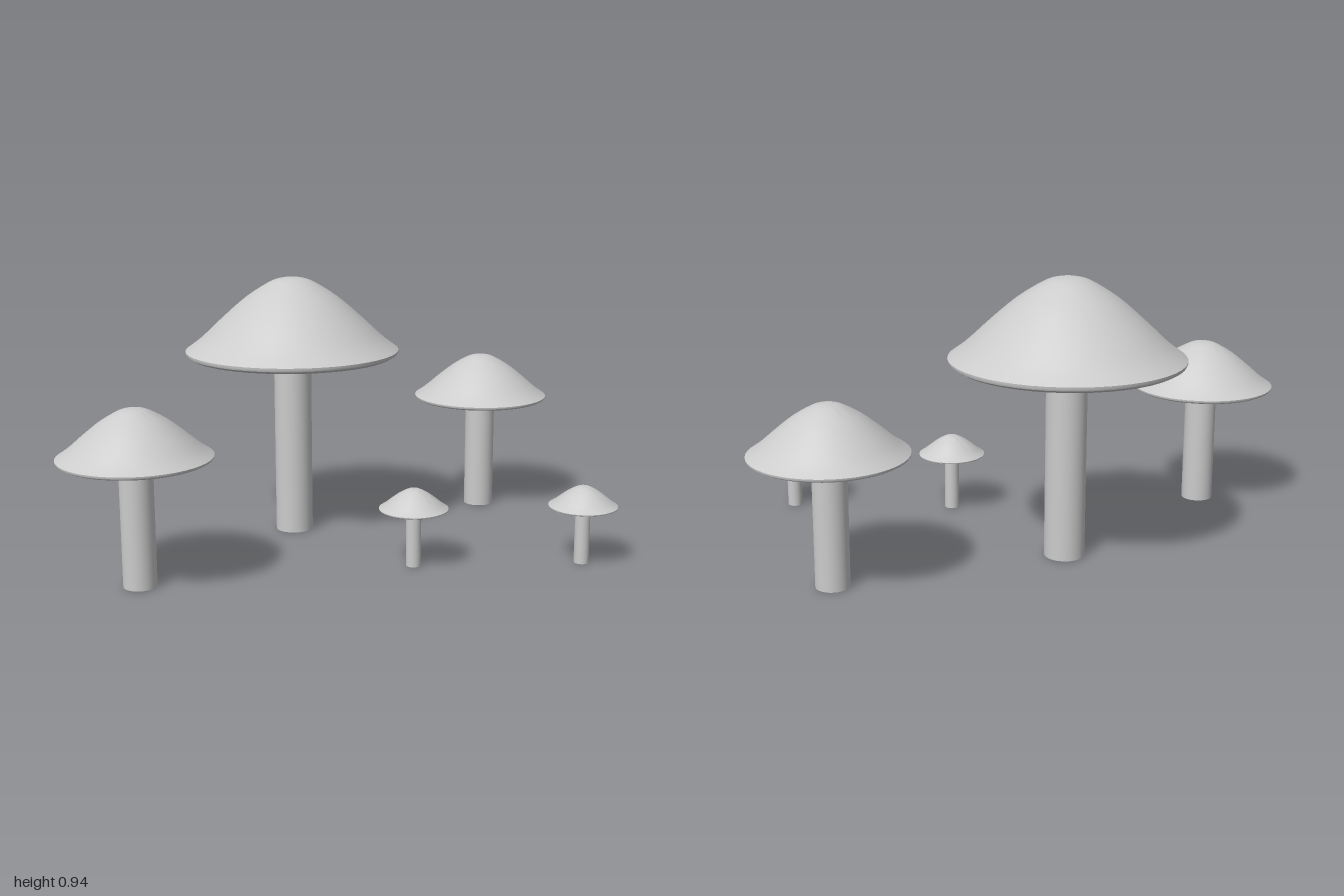
import * as THREE from 'three';
import { toCreasedNormals } from 'three/addons/utils/BufferGeometryUtils.js';

const material = new THREE.MeshStandardMaterial({ color: 0xcccccc });

// Unit cap: radius 1, height 1, flat underside with a thin rolled rim
function capGeometry() {
  const underside = [[0, 0], [0.86, 0.005], [0.95, 0.025], [0.99, 0.055], [1, 0.085]]
    .map(([r, y]) => new THREE.Vector2(r, y));
  const dome = new THREE.SplineCurve(
    [[1, 0.1], [0.86, 0.24], [0.65, 0.5], [0.43, 0.75], [0.21, 0.935], [0.1, 0.985], [0, 1]]
      .map(([r, y]) => new THREE.Vector2(r, y))
  ).getPoints(20);
  dome[dome.length - 1].x = 0;
  return new THREE.LatheGeometry([...underside, ...dome], 48);
}

function createMushroom({ name, x, z, capRadius, capBottom, capTop, stemRadius, stemTop }) {
  const mushroom = new THREE.Group();
  mushroom.name = name;
  mushroom.position.set(x, 0, z);

  const stem = new THREE.Mesh(
    new THREE.CylinderGeometry(stemRadius, stemRadius, stemTop, 32), material);
  stem.name = 'stem';
  stem.position.y = stemTop / 2;

  const geometry = capGeometry();
  geometry.scale(capRadius, capTop - capBottom, capRadius);
  const cap = new THREE.Mesh(toCreasedNormals(geometry, 0.6), material);
  cap.name = 'cap';
  cap.position.y = capBottom;

  mushroom.add(stem, cap);
  return mushroom;
}

export function createModel() {
  const group = new THREE.Group();
  group.name = 'mushrooms';

  const large = { capRadius: 0.387, capBottom: 0.65, capTop: 0.943, stemRadius: 0.068, stemTop: 0.637 };
  const medium = { capRadius: 0.255, capBottom: 0.422, capTop: 0.6, stemRadius: 0.056, stemTop: 0.413 };
  const small = { capRadius: 0.119, capBottom: 0.197, capTop: 0.275, stemRadius: 0.026, stemTop: 0.192 };

  [
    { name: 'largeMushroom', x: 0.045, z: -0.39, ...large },
    { name: 'mediumMushroomRight', x: -0.745, z: -0.39, ...medium },
    { name: 'mediumMushroomLeft', x: 0.745, z: -0.02, ...medium },
    { name: 'smallMushroomRight', x: -0.04, z: 0.213, ...small },
    { name: 'smallMushroomLeft', x: 0.335, z: 0.66, ...small },
  ].forEach((spec) => group.add(createMushroom(spec)));

  return group;
}
